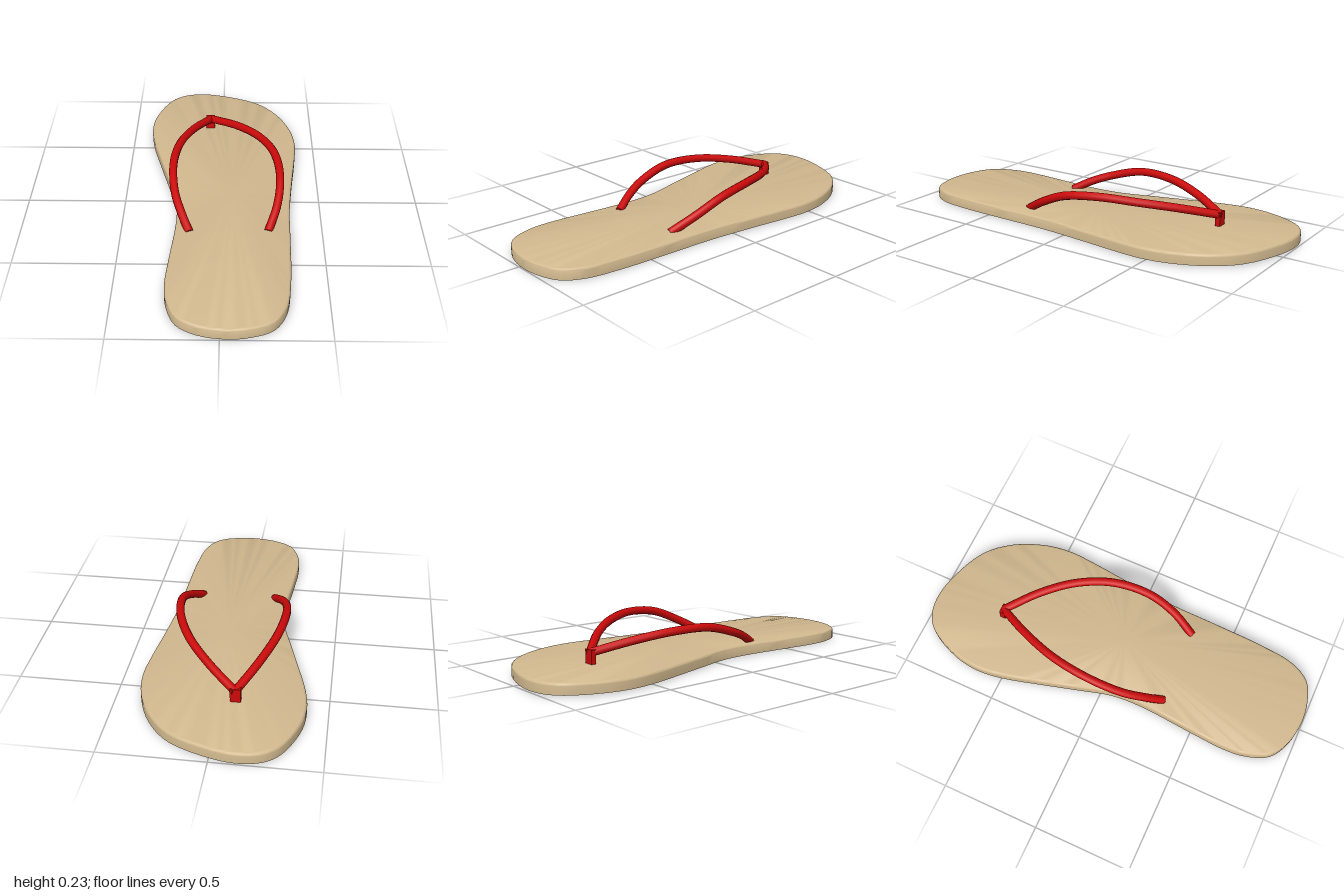
import * as THREE from 'three';
import { toCreasedNormals } from 'three/addons/utils/BufferGeometryUtils.js';

const soleMaterial = new THREE.MeshStandardMaterial({ color: 0xd2b98f });
const strapMaterial = new THREE.MeshStandardMaterial({ color: 0xcc0a0a });

// Foot outline as [x, z], from the toe round the left side to the heel and back
const OUTLINE = [
  [-0.14, -1], [-0.02, -0.985], [0.19, -0.9], [0.305, -0.775], [0.375, -0.615],
  [0.397, -0.475], [0.387, -0.315], [0.366, -0.13], [0.342, 0.135], [0.335, 0.4],
  [0.325, 0.665], [0.3, 0.84], [0.24, 0.94], [0.135, 0.984], [0.03, 0.995],
  [-0.1, 0.972], [-0.195, 0.914], [-0.245, 0.8], [-0.257, 0.69], [-0.246, 0.505],
  [-0.225, 0.215], [-0.235, 0.055], [-0.278, -0.105], [-0.33, -0.29],
  [-0.385, -0.5], [-0.4, -0.633], [-0.38, -0.765], [-0.305, -0.925], [-0.235, -0.98],
];

// Sole: stacked outline rings with a rounded top edge and a sharp bottom edge
function soleGeometry() {
  const n = 116, thickness = 0.055, round = 0.014;
  const curve = new THREE.CatmullRomCurve3(
    OUTLINE.map(([x, z]) => new THREE.Vector3(x, 0, z)), true);
  const rings = [[0, 0]]; // [inset, height]
  for (let i = 0; i <= 4; i++) {
    const a = (i / 4) * Math.PI / 2;
    rings.push([round * (1 - Math.cos(a)), thickness - round * (1 - Math.sin(a))]);
  }
  const positions = [], index = [];
  const add = (x, y, z) => positions.push(x, y + 0.0035 * (1 - z), z); // toe slightly raised
  for (const [inset, y] of rings) {
    for (let i = 0; i < n; i++) {
      const p = curve.getPoint(i / n), t = curve.getTangent(i / n);
      add(p.x - t.z * inset, y, p.z + t.x * inset);
    }
  }
  const bottom = rings.length * n, top = bottom + 1, last = (rings.length - 1) * n;
  add(0.05, 0, 0);
  add(0.05, thickness, 0);
  for (let i = 0; i < n; i++) {
    const j = (i + 1) % n;
    for (let r = 0; r < last; r += n) {
      index.push(r + i, r + n + i, r + j, r + j, r + n + i, r + n + j);
    }
    index.push(bottom, i, j, top, last + j, last + i);
  }
  const geometry = new THREE.BufferGeometry();
  geometry.setAttribute('position', new THREE.Float32BufferAttribute(positions, 3));
  geometry.setIndex(index);
  return toCreasedNormals(geometry, 0.6);
}

// Strap: an arched tube from the toe post down to the side of the sole
function strap(name, points) {
  const curve = new THREE.CatmullRomCurve3(points.map((p) => new THREE.Vector3(...p)));
  const group = new THREE.Group();
  group.name = name;
  const tube = new THREE.Mesh(new THREE.TubeGeometry(curve, 40, 0.021, 10), strapMaterial);
  tube.name = name + 'Band';
  group.add(tube);
  for (const u of [0, 1]) {
    const cap = new THREE.Mesh(new THREE.CircleGeometry(0.021, 10), strapMaterial);
    cap.name = name + 'End';
    cap.position.copy(curve.getPoint(u));
    const outward = curve.getTangent(u).multiplyScalar(u ? 1 : -1);
    cap.quaternion.setFromUnitVectors(new THREE.Vector3(0, 0, 1), outward);
    group.add(cap);
  }
  return group;
}

export function createModel() {
  const model = new THREE.Group();
  model.name = 'sandal';

  const sole = new THREE.Mesh(soleGeometry(), soleMaterial);
  sole.name = 'sole';
  model.add(sole);

  model.add(strap('leftStrap', [
    [-0.07, 0.113, -0.632], [0.08, 0.16, -0.485], [0.195, 0.19, -0.33],
    [0.268, 0.204, -0.155], [0.293, 0.182, 0.03], [0.276, 0.12, 0.18], [0.23, 0.05, 0.305],
  ]));
  model.add(strap('rightStrap', [
    [-0.07, 0.113, -0.632], [-0.16, 0.16, -0.45], [-0.225, 0.189, -0.26],
    [-0.25, 0.188, -0.065], [-0.235, 0.142, 0.11], [-0.2, 0.1, 0.22], [-0.157, 0.05, 0.315],
  ]));

  // Toe post joining both straps to the sole
  const post = new THREE.Mesh(new THREE.BoxGeometry(0.05, 0.08, 0.026), strapMaterial);
  post.name = 'toePost';
  post.position.set(-0.072, 0.09, -0.63);
  model.add(post);

  return model;
}
